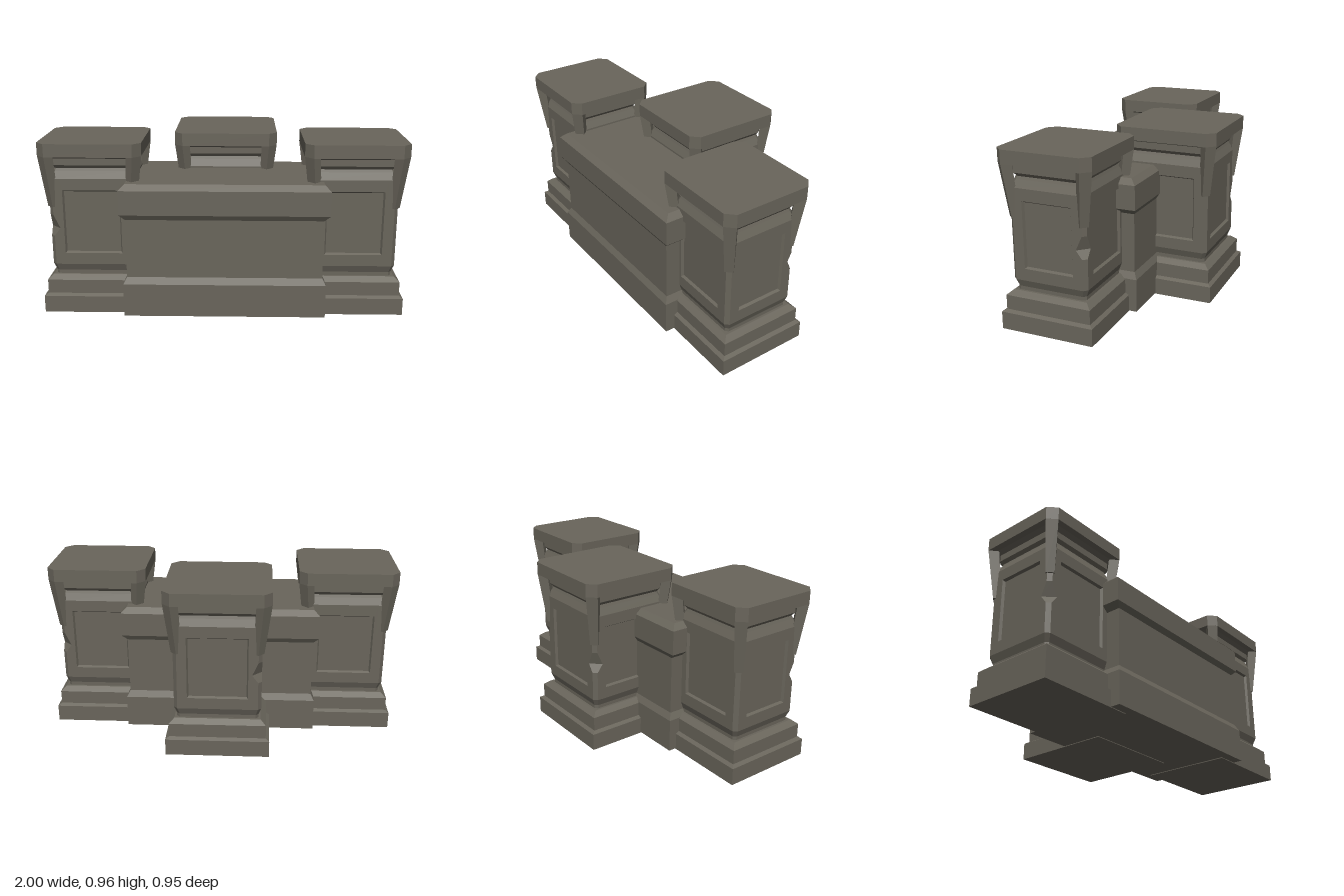
import * as THREE from 'three';

const stone = new THREE.MeshStandardMaterial({ color: 0x69655b });
stone.name = 'grey stone';

// Joins cross-section loops with flat faces; closed loops may be capped
function loft(name, loops, { closed = true, start = false, end = false } = {}) {
  const pos = [];
  const tri = (a, b, c) => pos.push(...a, ...b, ...c);
  const n = loops[0].length;
  for (let l = 0; l + 1 < loops.length; l++) {
    const a = loops[l], b = loops[l + 1];
    for (let i = 0; i < (closed ? n : n - 1); i++) {
      const j = (i + 1) % n;
      tri(a[i], a[j], b[j]);
      tri(a[i], b[j], b[i]);
    }
  }
  const first = loops[0], last = loops[loops.length - 1];
  for (let i = 1; i + 1 < n; i++) {
    if (start) tri(first[0], first[i + 1], first[i]);
    if (end) tri(last[0], last[i], last[i + 1]);
  }
  const g = new THREE.BufferGeometry();
  g.setAttribute('position', new THREE.Float32BufferAttribute(pos, 3));
  g.computeVertexNormals();
  const mesh = new THREE.Mesh(g, stone);
  mesh.name = name;
  return mesh;
}

// Horizontal rectangle at height y, with corners cut by c
function ring(hx, hz, y, c = 0) {
  if (!c) return [[hx, y, hz], [hx, y, -hz], [-hx, y, -hz], [-hx, y, hz]];
  return [
    [hx - c, y, hz], [hx, y, hz - c], [hx, y, c - hz], [hx - c, y, -hz],
    [c - hx, y, -hz], [-hx, y, c - hz], [-hx, y, hz - c], [c - hx, y, hz],
  ];
}

const BODY = 0.0475, LOW = 0.27, HIGH = 0.76, POST = 0.06;

// One pillar; hx and hz are half sizes, nick is the index of the chipped corner
function pillar(name, x, z, hx, hz, nick) {
  const group = new THREE.Group();
  group.name = name;
  group.position.set(x, 0, z);
  // Profile rows are [height, inset, corner cut]
  const stack = (part, rows) => group.add(loft(part,
    rows.map(([y, inset, c]) => ring(hx - inset, hz - inset, y, c)), { start: true, end: true }));

  stack('steppedBase', [[0, 0], [0.095, 0], [0.107, 0.02], [0.185, 0.02], [0.21, 0.05]]);
  stack('neck', [[0.2, 0.063, 0.015], [0.23, 0.063, 0.015], [LOW, BODY, 0.02]]);
  stack('topMoulding', [
    [HIGH, BODY, 0.02], [0.80, 0.066, 0.02], [0.815, 0.072, 0.02], [0.833, 0.058, 0.02],
    [0.87, 0.058, 0.02], [0.889, 0.035, 0.03],
  ]);
  stack('cap', [[0.888, 0, 0.045], [0.96, 0, 0.045]]);

  for (let k = 0; k < 4; k++) {
    const W = k % 2 ? hz : hx, D = k % 2 ? hx : hz;
    const w = W - BODY, d = D - BODY;
    const side = new THREE.Group();
    side.name = 'pillarSide';
    side.rotation.y = k * Math.PI / 2;

    // Wall with a recessed panel and bevelled edge
    const rect = (u, y0, y1, n) => [[-u, y0, n], [u, y0, n], [u, y1, n], [-u, y1, n]];
    side.add(loft('recessedPanel', [
      rect(w - POST, LOW, HIGH, d),
      rect(w - 0.075, 0.335, 0.695, d),
      rect(w - 0.083, 0.343, 0.687, d - 0.014),
    ], { end: true }));

    // Corner post, its cut deepening at the chip
    const cuts = [[LOW, 0.02], [0.435, 0.02], [0.48, k === nick ? 0.054 : 0.02], [0.555, 0.02], [HIGH, 0.02]];
    side.add(loft('cornerPost', cuts.map(([y, c]) => [
      [w - POST, y, d], [w - c, y, d], [w, y, d - c], [w, y, d - POST],
    ]), { closed: false }));

    // Tapered diagonal bracket under the cap corner
    const section = (y, a, b, t) => [
      [W - b, y, D - a], [W - a, y, D - b], [W - a - t, y, D - b - t], [W - b - t, y, D - a - t],
    ];
    side.add(loft('cornerBracket', [
      section(0.602, 0.037, 0.069, 0.03), section(0.889, 0, 0.045, 0.04),
    ], { start: true, end: true }));
    group.add(side);
  }
  return group;
}

export function createModel() {
  const model = new THREE.Group();
  model.name = 'stonePedestals';

  // Central block: rows are [height, half width, half depth]
  const block = loft('centralBlock', [
    [0.004, 0.555, 0.31], [0.19, 0.555, 0.31], [0.227, 0.535, 0.291], [0.555, 0.535, 0.291],
    [0.585, 0.5675, 0.31], [0.72, 0.5675, 0.31], [0.75, 0.535, 0.277],
  ].map(([y, hx, hz]) => ring(hx, hz, y)), { start: true, end: true });
  block.position.set(0.008, 0, 0.164);
  model.add(block);

  model.add(pillar('leftPillar', 0.717, 0.16, 0.281, 0.26, 1));
  model.add(pillar('backPillar', 0.0075, -0.185, 0.2915, 0.29, 2));
  model.add(pillar('rightPillar', -0.719, 0.16, 0.281, 0.26, 3));
  return model;
}
